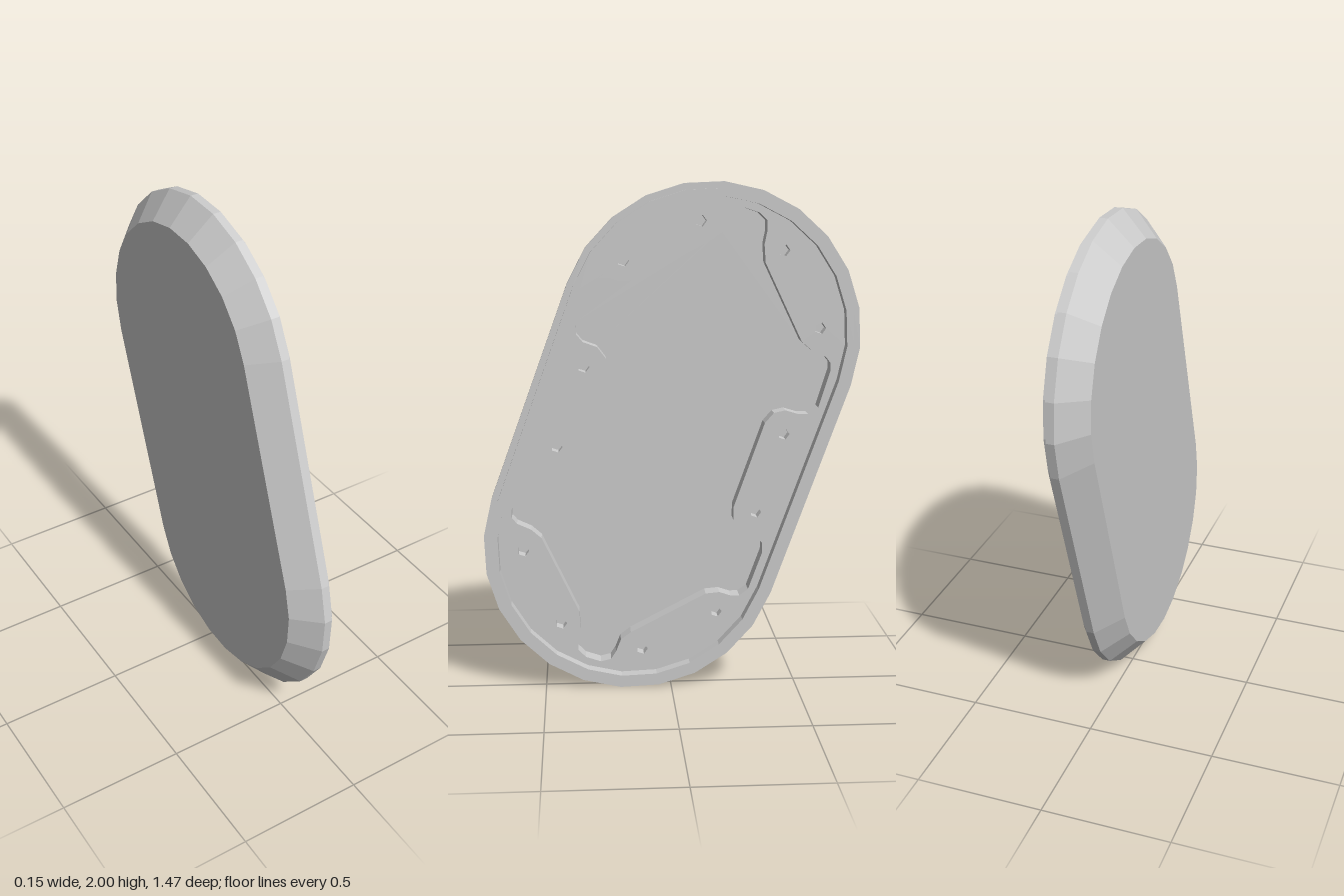
import * as THREE from 'three';

const V2 = (x, y) => new THREE.Vector2(x, y);
const material = new THREE.MeshStandardMaterial({ color: 0xcccccc, flatShading: true });

// Levels through the thickness
const BACK = -0.075, FLOOR = -0.05, HOLE_BOTTOM = -0.03, LEDGE = 0.02, STEP = 0.052, RIM = 0.07;

// Tilted stadium outline, counter-clockwise
function stadium(r, segments = 12) {
  const tilt = THREE.MathUtils.degToRad(20), half = 0.443, pts = [];
  for (const end of [0, 1]) {
    const s = end ? -1 : 1;
    for (let i = 0; i <= segments; i++) {
      const a = -tilt + Math.PI * (end + i / segments);
      pts.push(V2(s * half * Math.sin(tilt) + r * Math.cos(a), s * half * Math.cos(tilt) + r * Math.sin(a)));
    }
  }
  return pts;
}

// Pocket outline: one half, the other is the same turned by 180 degrees
function pocketOutline() {
  const half = [
    [0.16, 0.78], [0.2, 0.81], [0.22, 0.86], [0.24, 0.89], [0.28, 0.9], [0.34, 0.88], [0.37, 0.85], [0.37, 0.81],
    [0.36, 0.76], [0.365, 0.69], [0.51, 0.385], [0.55, 0.35], [0.605, 0.325], [0.625, 0.3], [0.625, 0.27],
    [0.58, 0.125], [0.54, 0.1], [0.5, 0.1], [0.45, 0.115], [0.405, 0.105], [0.37, 0.065], [0.25, -0.27],
    [0.25, -0.325], [0.285, -0.37], [0.34, -0.39], [0.365, -0.42], [0.365, -0.46], [0.31, -0.61],
    [0.275, -0.635], [0.24, -0.635], [0.195, -0.62], [0.14, -0.625],
  ];
  const pts = half.map(([x, y]) => V2(x, y));
  return [...pts, ...pts.map((p) => V2(-p.x, -p.y))].reverse();
}

// Small five-sided screw hole
function holeOutline(cx, cy) {
  return Array.from({ length: 5 }, (_, i) => {
    const a = (i / 5) * Math.PI * 2;
    return V2(cx + 0.023 * Math.cos(a), cy + 0.023 * Math.sin(a));
  });
}

// Skin between successive [outline, level] sections
function loft(sections) {
  const pos = [];
  for (let k = 0; k + 1 < sections.length; k++) {
    const [lo, z0] = sections[k], [hi, z1] = sections[k + 1];
    lo.forEach((a, i) => {
      const j = (i + 1) % lo.length, b = lo[j], c = hi[j], d = hi[i];
      pos.push(a.x, a.y, z0, b.x, b.y, z0, c.x, c.y, z1, a.x, a.y, z0, c.x, c.y, z1, d.x, d.y, z1);
    });
  }
  const g = new THREE.BufferGeometry();
  g.setAttribute('position', new THREE.Float32BufferAttribute(pos, 3));
  g.computeVertexNormals();
  return g;
}

// Flat face at a level, optionally with holes or facing backwards
function face(outline, level, holes = [], backwards = false) {
  const shape = new THREE.Shape(outline);
  shape.holes = holes.map((h) => new THREE.Path(h));
  const g = new THREE.ShapeGeometry(shape);
  if (backwards) {
    g.index.array.reverse();
    g.computeVertexNormals();
  }
  return g.translate(0, 0, level);
}

export function createModel() {
  const model = new THREE.Group();
  model.name = 'coverPlate';
  const add = (name, geometry) => {
    // Turn the drawing plane so that it faces +x, standing on the ground
    geometry.rotateY(Math.PI / 2).translate(0, 1, 0);
    const mesh = new THREE.Mesh(geometry, material);
    mesh.name = name;
    model.add(mesh);
  };

  // Chamfered shell with stepped rim
  const profile = [
    [0.484, BACK], [0.584, LEDGE], [0.584, STEP], [0.559, STEP], [0.559, RIM], [0.53, RIM], [0.53, LEDGE],
  ];
  add('shellAndRim', loft(profile.map(([r, z]) => [stadium(r), z])));
  add('backFace', face(stadium(0.484), BACK, [], true));

  // Screw holes, in pairs opposite each other
  const centres = [[0.115, 0.85], [0.437, 0.737], [0.582, 0.436], [0.445, 0.02], [0.337, -0.293], [0.182, -0.7]];
  const holes = centres.flatMap(([x, y]) => [holeOutline(x, y), holeOutline(-x, -y)]);

  // Inner ledge with the pocket and screw holes cut out
  const pocket = pocketOutline();
  add('ledge', face(stadium(0.53), LEDGE, [pocket, ...holes]));
  add('pocketWall', loft([[pocket, LEDGE], [pocket, FLOOR]]));
  add('pocketFloor', face(pocket, FLOOR));
  for (const hole of holes) {
    add('screwHoleWall', loft([[hole, LEDGE], [hole, HOLE_BOTTOM]]));
    add('screwHoleBottom', face(hole, HOLE_BOTTOM));
  }
  return model;
}
